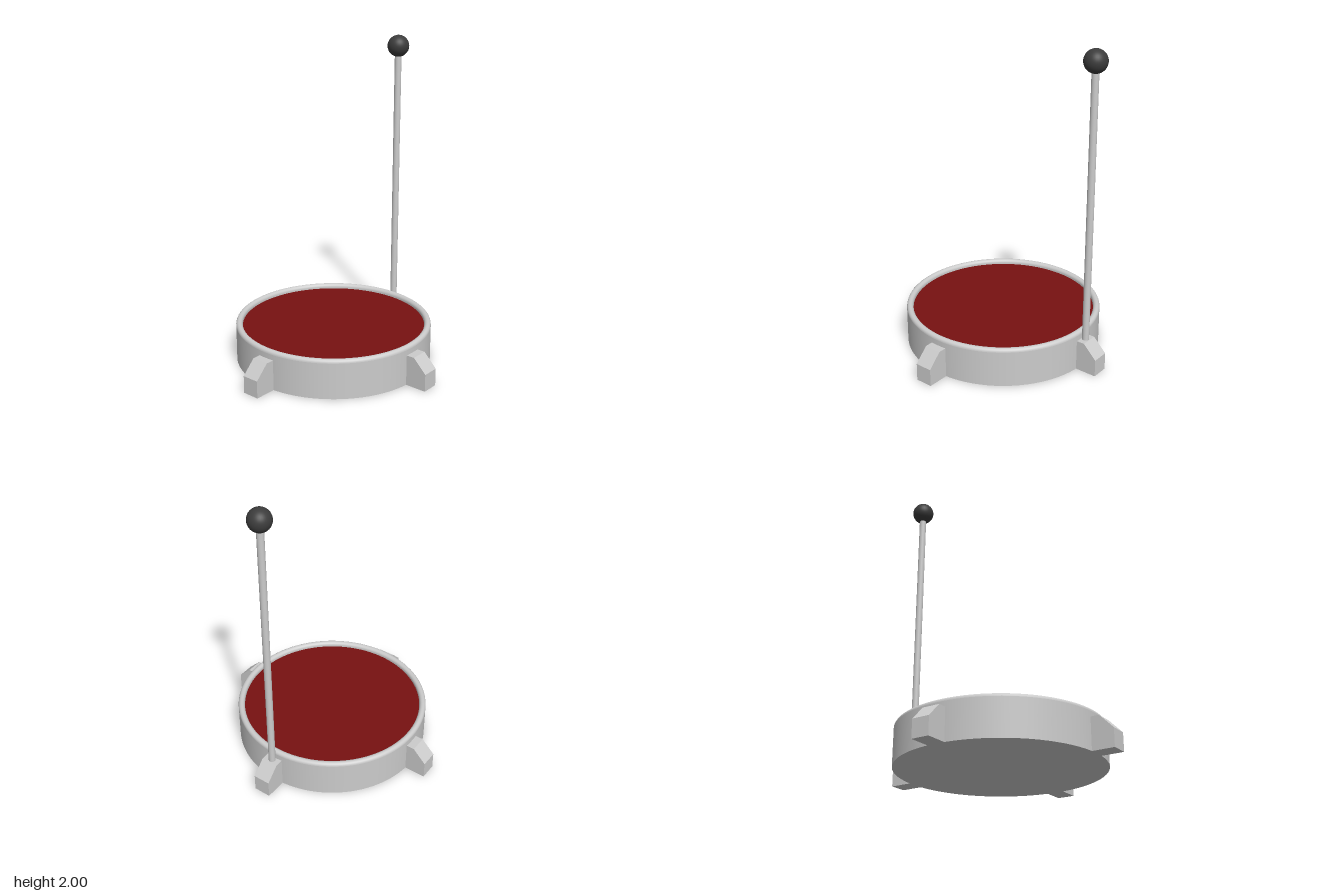
import * as THREE from 'three';

const grey = new THREE.MeshStandardMaterial({ color: 0xcccccc });
const red = new THREE.MeshStandardMaterial({ color: 0x771111 });
const black = new THREE.MeshStandardMaterial({ color: 0x3c3c3c });

const R = 0.625;        // outer radius of the base
const LIP = 0.021;      // radius of the rounded rim
const TOP = 0.25;       // height of the rim
const PAD_Y = 0.22;     // height of the recessed pad
const FOOT_W = 0.11;
const POLE_Z = -0.648;

export function createModel() {
  const model = new THREE.Group();
  const add = (name, geometry, material, x = 0, y = 0, z = 0) => {
    const mesh = new THREE.Mesh(geometry, material);
    mesh.name = name;
    mesh.position.set(x, y, z);
    model.add(mesh);
    return mesh;
  };

  // Drum wall
  const wallTop = TOP - LIP;
  add('baseWall', new THREE.CylinderGeometry(R, R, wallTop, 96, 1, true), grey, 0, wallTop / 2, 0);

  // Underside of the drum
  add('baseBottom', new THREE.CircleGeometry(R, 96).rotateX(Math.PI / 2), grey);

  // Rounded rim, running from the outer wall over the top and down to the pad
  const rim = [];
  for (let i = 0; i <= 12; i++) {
    const a = (i / 12) * Math.PI;
    rim.push(new THREE.Vector2(R - LIP + LIP * Math.cos(a), wallTop + LIP * Math.sin(a)));
  }
  rim.push(new THREE.Vector2(R - 2 * LIP, PAD_Y));
  add('rim', new THREE.LatheGeometry(rim, 96), grey);

  // Recessed round pad
  add('pad', new THREE.CircleGeometry(R - 2 * LIP, 96).rotateX(-Math.PI / 2), red, 0, PAD_Y, 0);

  // Four chamfered feet around the drum
  const profile = new THREE.Shape([
    new THREE.Vector2(0.6, 0),
    new THREE.Vector2(0.76, 0),
    new THREE.Vector2(0.76, 0.11),
    new THREE.Vector2(0.675, 0.195),
    new THREE.Vector2(0.6, 0.195),
  ]);
  const footGeometry = new THREE.ExtrudeGeometry(profile, { depth: FOOT_W, bevelEnabled: false });
  footGeometry.translate(0, 0, -FOOT_W / 2);
  ['leftFoot', 'backFoot', 'rightFoot', 'frontFoot'].forEach((name, i) => {
    add(name, footGeometry, grey).rotation.y = (i * Math.PI) / 2;
  });

  // Upright pole on the back foot, with a ball knob
  add('pole', new THREE.CylinderGeometry(0.022, 0.022, 1.75, 24), grey, 0, 0.18 + 1.75 / 2, POLE_Z);
  add('knob', new THREE.SphereGeometry(0.07, 32, 24), black, 0, 1.93, POLE_Z);

  return model;
}
